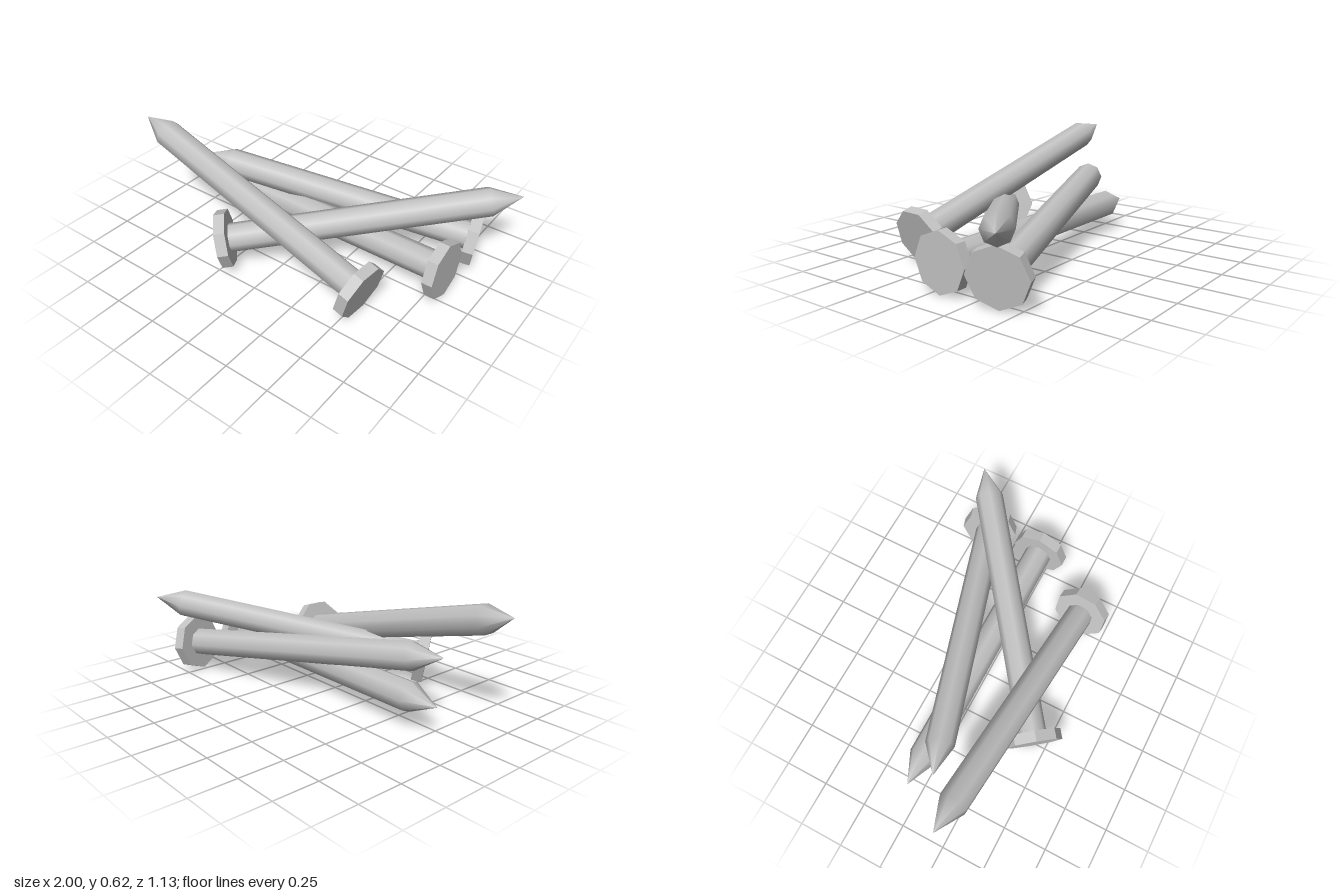
import * as THREE from 'three';

const SIDES = 8;
const HEAD_RADIUS = 0.16, HEAD_THICKNESS = 0.06;
const SHAFT_RADIUS = 0.08, TIP_LENGTH = 0.175;

// One nail from its point to the centre of its striking face; roll turns it about its own axis
function createNail(name, tip, head, roll, material) {
  const from = new THREE.Vector3(...tip);
  const axis = new THREE.Vector3(...head).sub(from);
  const length = axis.length();
  axis.normalize();

  // Smooth eight-sided shaft tapering to a point
  const profile = [
    new THREE.Vector2(0, 0),
    new THREE.Vector2(SHAFT_RADIUS, TIP_LENGTH),
    new THREE.Vector2(SHAFT_RADIUS, length - HEAD_THICKNESS / 2),
  ];
  const shaft = new THREE.Mesh(new THREE.LatheGeometry(profile, SIDES), material);
  shaft.name = 'shaft';

  // Faceted octagonal head
  const headGeometry = new THREE.CylinderGeometry(HEAD_RADIUS, HEAD_RADIUS, HEAD_THICKNESS, SIDES)
    .translate(0, length - HEAD_THICKNESS / 2, 0)
    .toNonIndexed();
  headGeometry.computeVertexNormals();
  const cap = new THREE.Mesh(headGeometry, material);
  cap.name = 'head';

  for (const part of [shaft, cap]) part.geometry.rotateY(roll);

  // Local y runs along the nail, local x stays level
  const side = new THREE.Vector3().crossVectors(axis, new THREE.Vector3(0, 1, 0)).normalize();
  const third = new THREE.Vector3().crossVectors(side, axis);
  const nail = new THREE.Group();
  nail.name = name;
  nail.quaternion.setFromRotationMatrix(new THREE.Matrix4().makeBasis(side, axis, third));
  nail.position.copy(from);
  nail.add(shaft, cap);
  return nail;
}

export function createModel() {
  const steel = new THREE.MeshStandardMaterial({ color: 0xc2c2c2 });
  steel.name = 'steel';

  const model = new THREE.Group();
  model.name = 'nailPile';
  model.add(
    createNail('flatNail', [-0.81, 0.168, -0.064], [0.83, 0.164, -0.06], 0, steel),
    createNail('backNail', [-0.73, 0.365, 0.065], [0.83, 0.163, -0.412], 0, steel),
    createNail('crossingNail', [0.995, 0.428, -0.545], [-0.289, 0.163, 0.441], 0, steel),
    createNail('topNail', [-1, 0.597, 0.235], [0.578, 0.158, 0.337], Math.PI / SIDES, steel),
  );
  return model;
}
